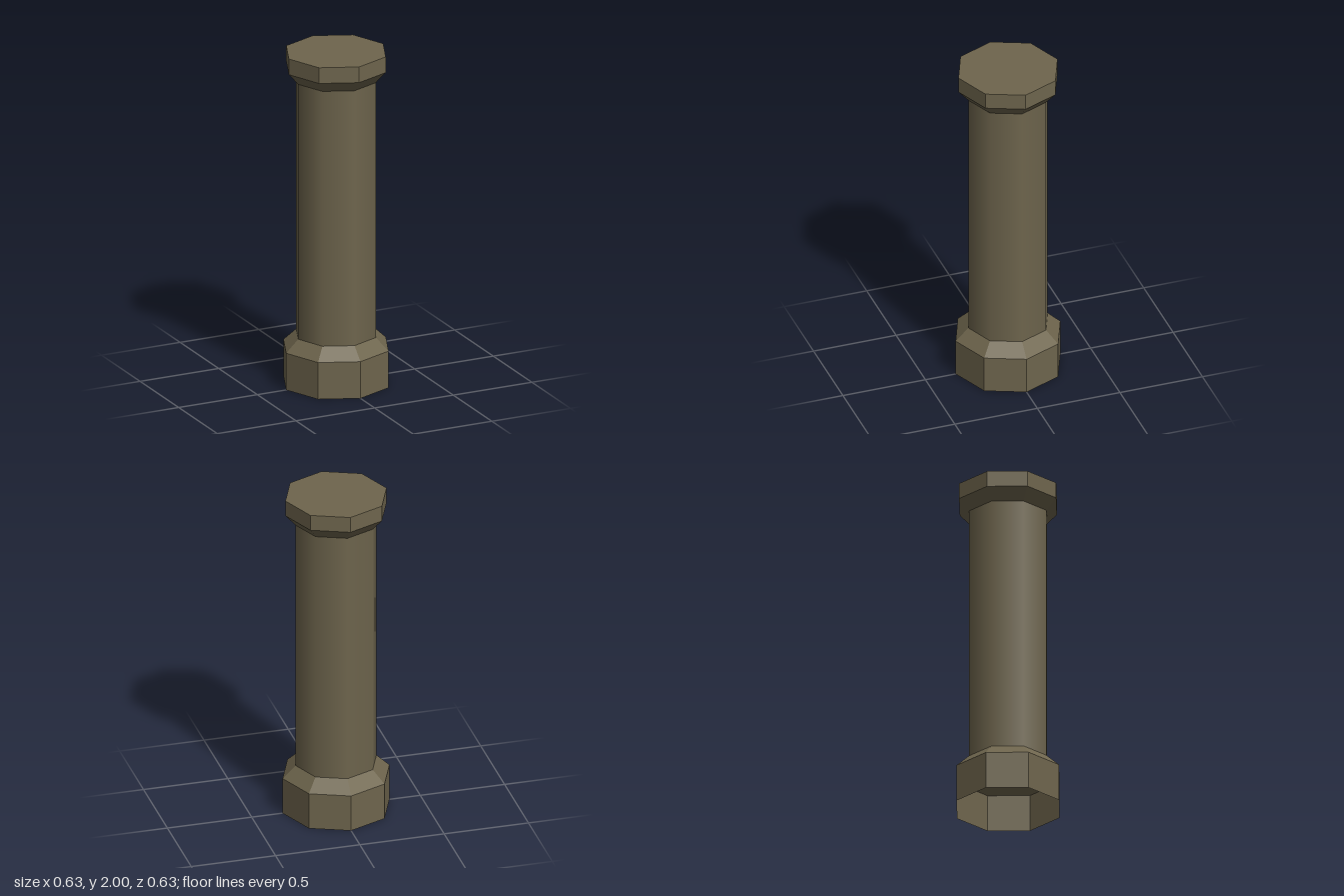
import * as THREE from 'three';

const SIDES = 8;

export function createModel() {
  const group = new THREE.Group();
  group.name = 'column';
  const stone = new THREE.MeshStandardMaterial({ color: 0x6e654d, side: THREE.DoubleSide });
  stone.name = 'brown stone';

  // Open eight-sided ring from y0 to y1; faceted unless smooth
  function ring(name, r0, r1, y0, y1, smooth = false) {
    let geo = new THREE.CylinderGeometry(r1, r0, y1 - y0, SIDES, 1, true);
    if (!smooth) {
      geo = geo.toNonIndexed();
      geo.computeVertexNormals();
    }
    const mesh = new THREE.Mesh(geo, stone);
    mesh.name = name;
    mesh.position.y = (y0 + y1) / 2;
    group.add(mesh);
  }

  // Hollow base, open underneath
  ring('base', 0.317, 0.317, 0, 0.222);
  ring('baseBevel', 0.317, 0.24, 0.222, 0.295);

  // Smooth-shaded shaft
  ring('shaft', 0.24, 0.24, 0.295, 1.837, true);

  // Flared capital
  ring('capitalBevel', 0.24, 0.3, 1.837, 1.905);
  ring('capital', 0.3, 0.3, 1.905, 2);

  // Flat top, turned so its corners meet the capital
  const top = new THREE.Mesh(new THREE.CircleGeometry(0.3, SIDES), stone);
  top.name = 'top';
  top.rotation.x = -Math.PI / 2;
  top.position.y = 2;
  group.add(top);

  return group;
}
